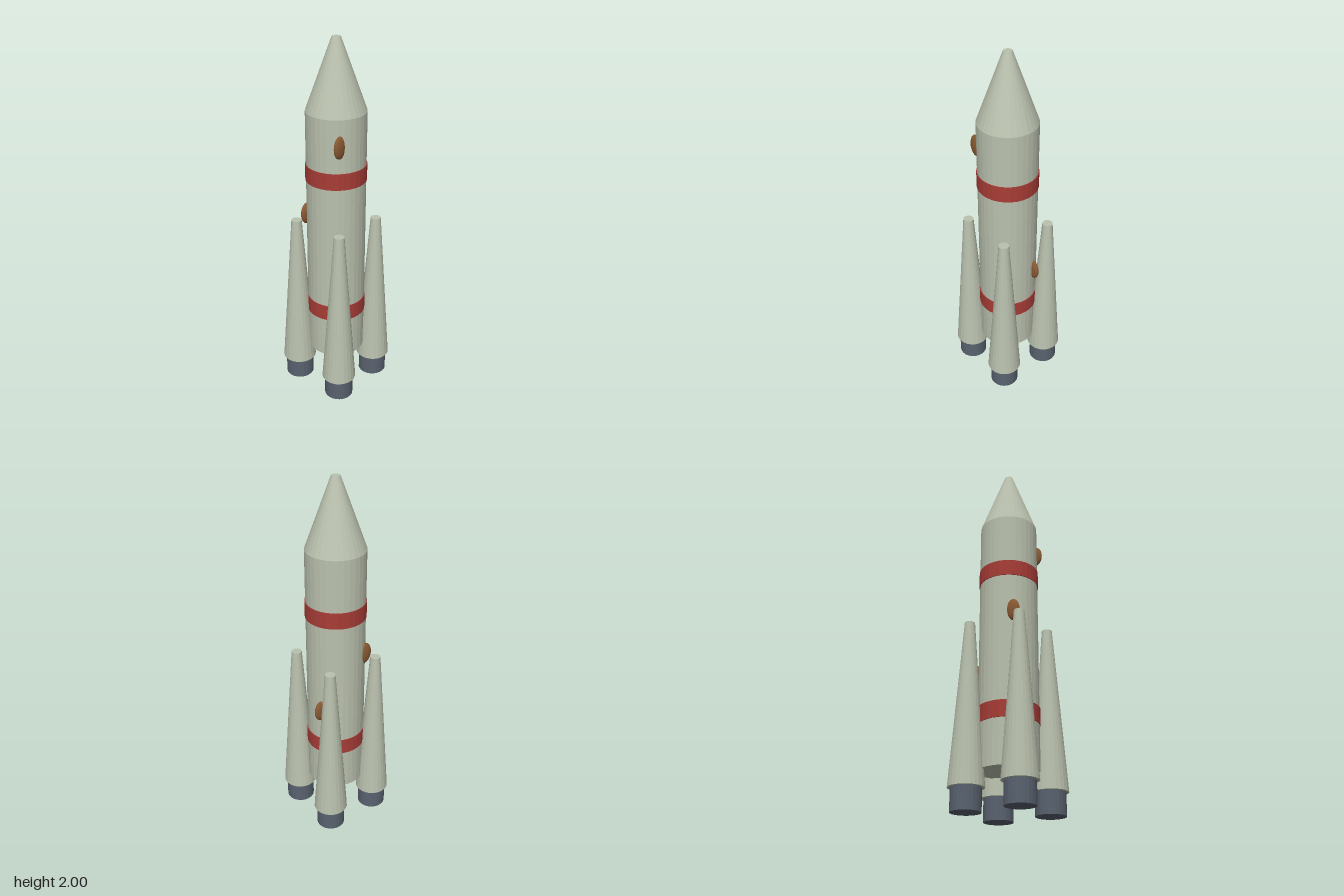
import * as THREE from 'three';

function material(name, color, flatShading = true) {
  const m = new THREE.MeshStandardMaterial({ color, flatShading });
  m.name = name;
  return m;
}

export function createModel() {
  const model = new THREE.Group();
  model.name = 'rocket';
  const hull = material('paleGreyHull', 0xbac1ae);
  const red = material('redBand', 0xa83c36);
  const steel = material('darkSteel', 0x59626f);
  const rust = material('rustBrown', 0x8a5a33, false);

  // Upright tapered cylinder spanning y0..y1
  function column(name, rTop, rBottom, y0, y1, sides, mat, x = 0, z = 0) {
    const mesh = new THREE.Mesh(new THREE.CylinderGeometry(rTop, rBottom, y1 - y0, sides), mat);
    mesh.name = name;
    mesh.position.set(x, (y0 + y1) / 2, z);
    model.add(mesh);
  }

  // Core stage and blunt nose
  column('body', 0.16, 0.16, 0.21, 1.625, 32, hull);
  column('noseCone', 0.023, 0.16, 1.625, 2, 32, hull);

  // Painted bands
  column('upperBand', 0.164, 0.164, 1.25, 1.34, 32, red);
  column('lowerBand', 0.164, 0.164, 0.45, 0.54, 32, red);

  // Four tapered boosters with nozzles
  for (const sx of [-1, 1]) {
    for (const sz of [-1, 1]) {
      const x = sx * 0.153, z = sz * 0.153;
      column('booster', 0.028, 0.094, 0.12, 1.01, 24, hull, x, z);
      column('nozzle', 0.079, 0.079, 0, 0.12, 24, steel, x, z);
    }
  }

  // Rust blisters half sunk into the hull
  const blister = new THREE.SphereGeometry(1, 20, 14);
  for (const [x, y, z] of [[-0.108, 1.482, 0.118], [-0.098, 1.04, -0.127], [0.147, 0.73, -0.062]]) {
    const mesh = new THREE.Mesh(blister, rust);
    mesh.name = 'rustPatch';
    mesh.scale.set(0.042, 0.061, 0.018);
    mesh.position.set(x, y, z);
    model.add(mesh);
  }

  return model;
}
